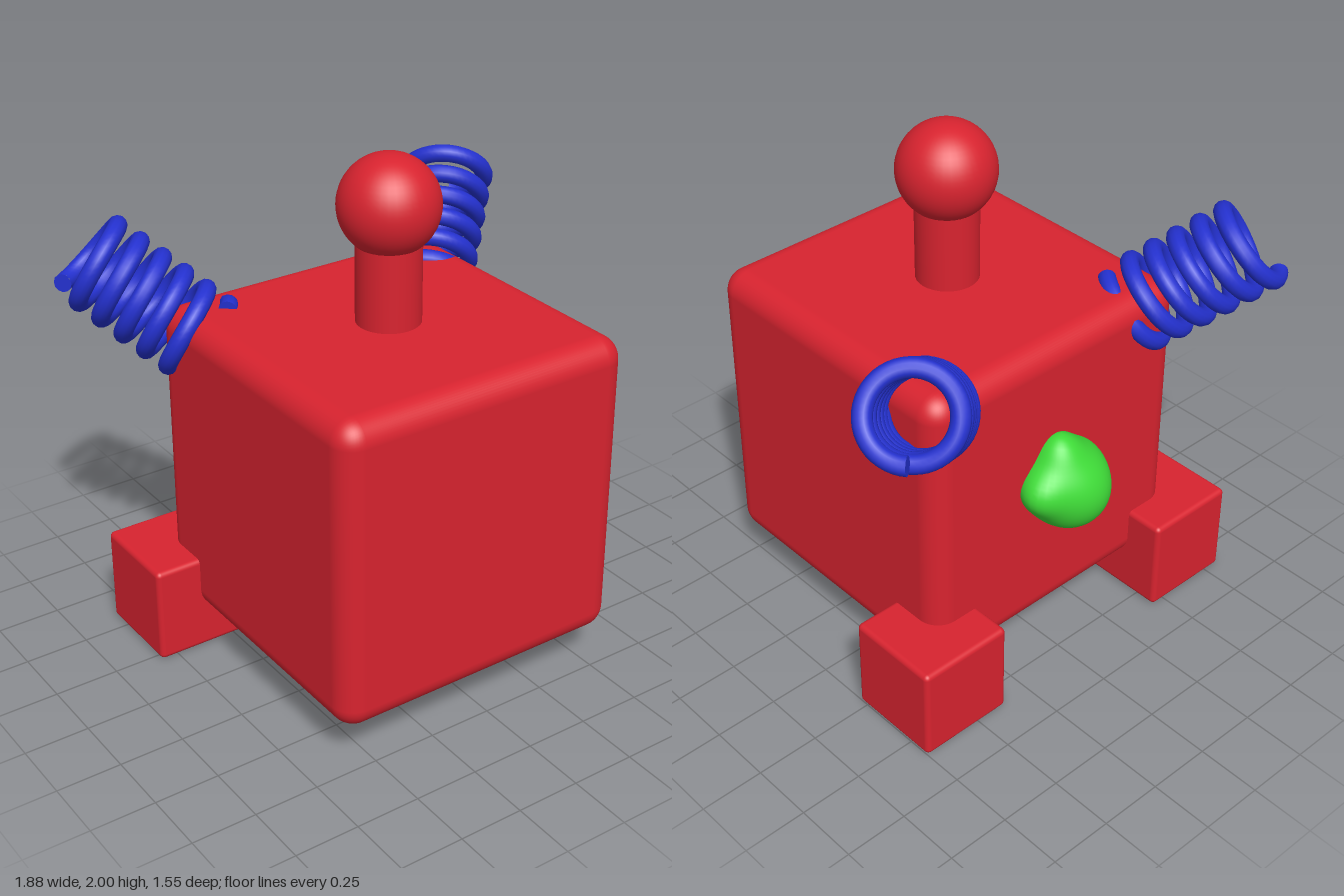
import * as THREE from 'three';
import { RoundedBoxGeometry } from 'three/addons/geometries/RoundedBoxGeometry.js';

const red = new THREE.MeshStandardMaterial({ color: 0xd8232f });
const blue = new THREE.MeshStandardMaterial({ color: 0x2431d0 });
const green = new THREE.MeshStandardMaterial({ color: 0x3fdc38 });

const CX = -0.035, CZ = 0.165; // centre of the body

function part(parent, name, geometry, material, x, y, z) {
  const mesh = new THREE.Mesh(geometry, material);
  mesh.name = name;
  mesh.position.set(x, y, z);
  parent.add(mesh);
  return mesh;
}

// Helix wound back from its outer end along an axis given as one turn's advance
class Helix extends THREE.Curve {
  constructor(end, step, turns, radius) {
    super();
    Object.assign(this, { end, step, turns, radius });
    const axis = step.clone().normalize();
    this.u = new THREE.Vector3(-axis.z, 0, axis.x).normalize();
    this.v = new THREE.Vector3().crossVectors(axis, this.u);
  }
  getPoint(t, target = new THREE.Vector3()) {
    const back = (t - 1) * this.turns;
    const a = Math.PI / 2 + back * Math.PI * 2;
    return target.copy(this.end)
      .addScaledVector(this.step, back)
      .addScaledVector(this.u, Math.cos(a) * this.radius)
      .addScaledVector(this.v, Math.sin(a) * this.radius);
  }
}

function spring(name, end, step) {
  const group = new THREE.Group();
  group.name = name;
  const curve = new Helix(end, step, 5.5, 0.155);
  const r = 0.035;
  part(group, name + 'Coil', new THREE.TubeGeometry(curve, 260, r, 12), blue, 0, 0, 0);
  // flat ends of the wire
  for (const t of [0, 1]) {
    const p = curve.getPoint(t);
    const dir = curve.getTangent(t).multiplyScalar(t ? 1 : -1);
    const cap = part(group, name + 'Cap', new THREE.CircleGeometry(r, 12), blue, p.x, p.y, p.z);
    cap.lookAt(p.clone().add(dir));
  }
  return group;
}

// Sphere swollen by a few soft bumps
function lumpGeometry() {
  const bumps = [
    [0.15, 1, -0.1, 0.055, 9],
    [1, 0.15, -0.3, 0.05, 9],
    [-0.45, -0.35, -0.8, 0.03, 3],
    [-0.2, -1, -0.2, 0.035, 4],
    [-0.9, 0, 0.2, 0.03, 4],
  ].map(([x, y, z, height, focus]) => ({ dir: new THREE.Vector3(x, y, z).normalize(), height, focus }));
  const geometry = new THREE.SphereGeometry(1, 48, 32);
  const pos = geometry.attributes.position;
  const p = new THREE.Vector3();
  for (let i = 0; i < pos.count; i++) {
    p.fromBufferAttribute(pos, i).normalize();
    let r = 0.16;
    for (const b of bumps) r += b.height * Math.exp(b.focus * (p.dot(b.dir) - 1));
    p.multiplyScalar(r);
    pos.setXYZ(i, p.x, p.y, p.z);
  }
  geometry.computeVertexNormals();
  return geometry;
}

export function createModel() {
  const model = new THREE.Group();
  model.name = 'cubeCreature';

  // Body
  part(model, 'body', new RoundedBoxGeometry(1.21, 1.21, 1.21, 6, 0.09), red, CX, 0.77, CZ);

  // Neck and head
  part(model, 'neck', new THREE.CylinderGeometry(0.12, 0.12, 0.5, 32), red, CX, 1.55, CZ);
  part(model, 'head', new THREE.SphereGeometry(0.186, 40, 28), red, CX, 1.814, CZ);

  // Feet at the two back corners
  for (const side of [-1, 1]) {
    part(model, side > 0 ? 'leftFoot' : 'rightFoot',
      new RoundedBoxGeometry(0.386, 0.386, 0.386, 4, 0.02), red,
      CX + side * 0.595, 0.193, -0.403);
  }

  // Spring arms from the two upper back corners
  model.add(spring('leftSpring', new THREE.Vector3(0.79, 1.55, -0.585), new THREE.Vector3(0.06, 0.056, -0.055)));
  model.add(spring('rightSpring', new THREE.Vector3(-0.825, 1.55, -0.625), new THREE.Vector3(-0.056, 0.056, -0.058)));

  // Lumpy tail on the back
  part(model, 'tail', lumpGeometry(), green, -0.03, 0.785, -0.45);

  return model;
}
